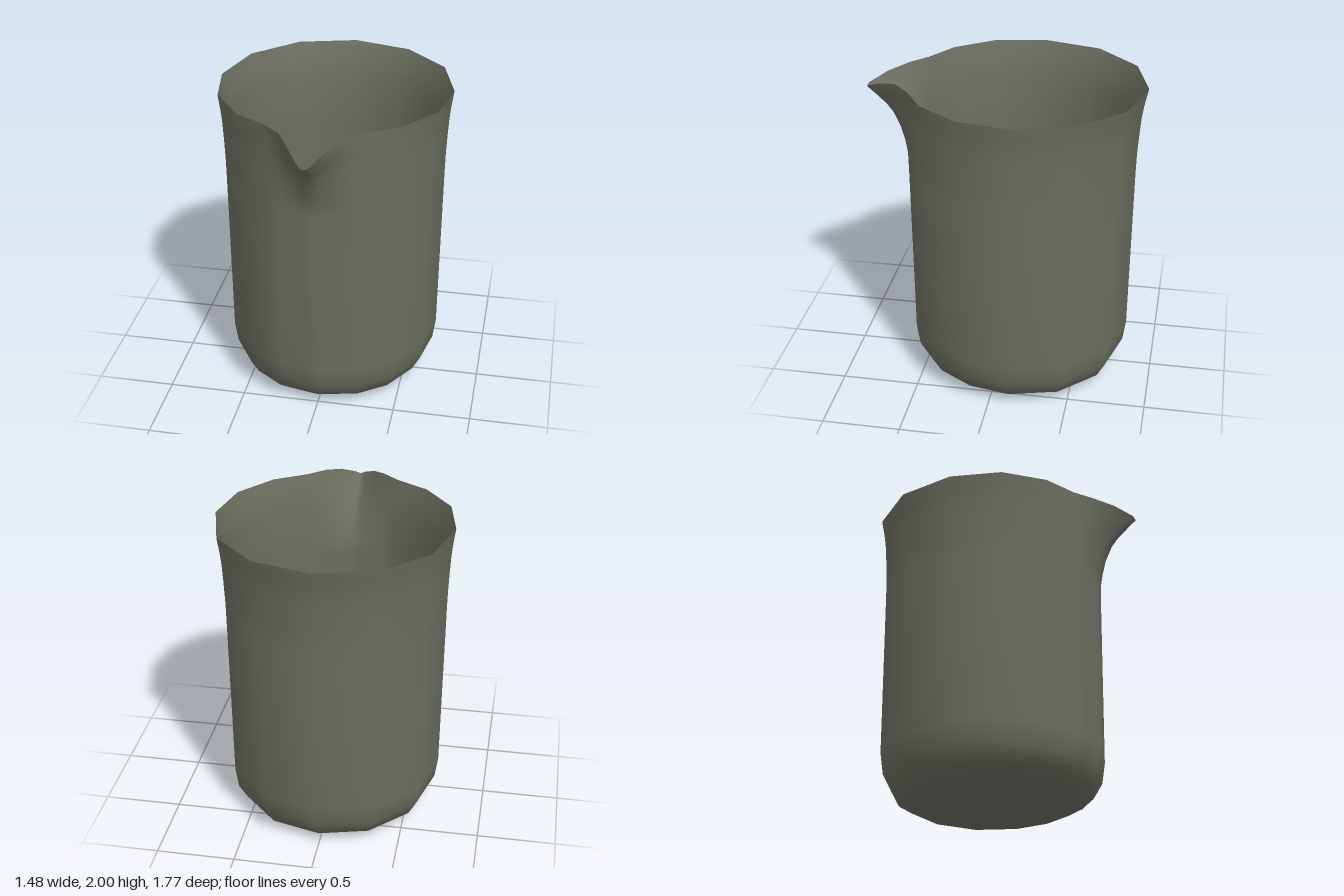
import * as THREE from 'three';

const CENTER_Z = -0.13;

// Half plan from spout to back: unit wall position (x, z), then rim position (x, y, z)
const half = [
  [0, 1.06, 0, 1.895, 0.885],
  [0.08, 1.045, 0.03, 1.91, 0.877],
  [0.2, 1.02, 0.11, 1.965, 0.77],
  [0.32, 0.995, 0.19, 2, 0.65],
  [0.42, 0.97, 0.3, 2, 0.55],
  [0.7, 0.77, 0.5, 2, 0.425],
  [0.92, 0.42, 0.68, 2, 0.18],
  [1, 0, 0.74, 2, -0.15],
  [0.87, -0.5, 0.64, 2, -0.52],
  [0.5, -0.87, 0.37, 2, -0.79],
  [0, -1, 0, 2, -0.89],
];
const mirrored = half.slice(1, -1).reverse().map(([x, z, rx, ry, rz]) => [-x, z, -rx, ry, rz]);
const columns = [...half, ...mirrored];

// Flare from the straight wall to the rim: [height share, outward share]
const flare = [[0.2, 0.05], [0.45, 0.2], [0.65, 0.36], [0.77, 0.53], [0.9, 0.79], [1, 1]];

// One ring of points at a given radius and height
const ring = (r, y) => columns.map(([x, z]) => [x * r, y, z * r + CENTER_Z]);

// Skin of a wall: rings from the profile, then the flare up to the rim
function skin(profile, flared, inward) {
  const rings = profile.map(([r, y]) => ring(r, y));
  if (flared) {
    const wall = rings[rings.length - 1];
    for (const [s, t] of flare) {
      rings.push(wall.map(([x, y, z], i) => {
        const [, , rx, ry, rz] = columns[i];
        return [x + (rx - x) * t, y + (ry - y) * s, z + (rz - z) * t];
      }));
    }
  }
  const n = columns.length;
  const index = [];
  for (let r = 0; r < rings.length - 1; r++) {
    for (let c = 0; c < n; c++) {
      const a = r * n + c, b = r * n + (c + 1) % n;
      const d = a + n, e = b + n;
      if (inward) index.push(a, d, b, b, d, e);
      else index.push(a, b, d, b, e, d);
    }
  }
  const geometry = new THREE.BufferGeometry();
  geometry.setAttribute('position', new THREE.Float32BufferAttribute(rings.flat(2), 3));
  geometry.setIndex(index);
  geometry.computeVertexNormals();
  return geometry;
}

export function createModel() {
  const group = new THREE.Group();
  group.name = 'beaker';
  const material = new THREE.MeshStandardMaterial({ color: 0x6b6e60 });
  material.name = 'grey green';

  const add = (name, geometry) => {
    const mesh = new THREE.Mesh(geometry, material);
    mesh.name = name;
    group.add(mesh);
  };

  // Outside with rounded foot and pouring lip
  add('outerWall', skin([
    [0, 0], [0.4, 0], [0.53, 0.025], [0.62, 0.08], [0.675, 0.18],
    [0.695, 0.32], [0.7, 0.9], [0.705, 1.45],
  ], true, false));

  // Inside wall meeting the outside at a sharp rim
  add('innerWall', skin([[0.6, 0.18], [0.63, 0.32], [0.64, 0.9], [0.65, 1.45]], true, true));

  // Flat inside floor
  add('innerFloor', skin([[0, 0.18], [0.6, 0.18]], false, true));

  return group;
}
